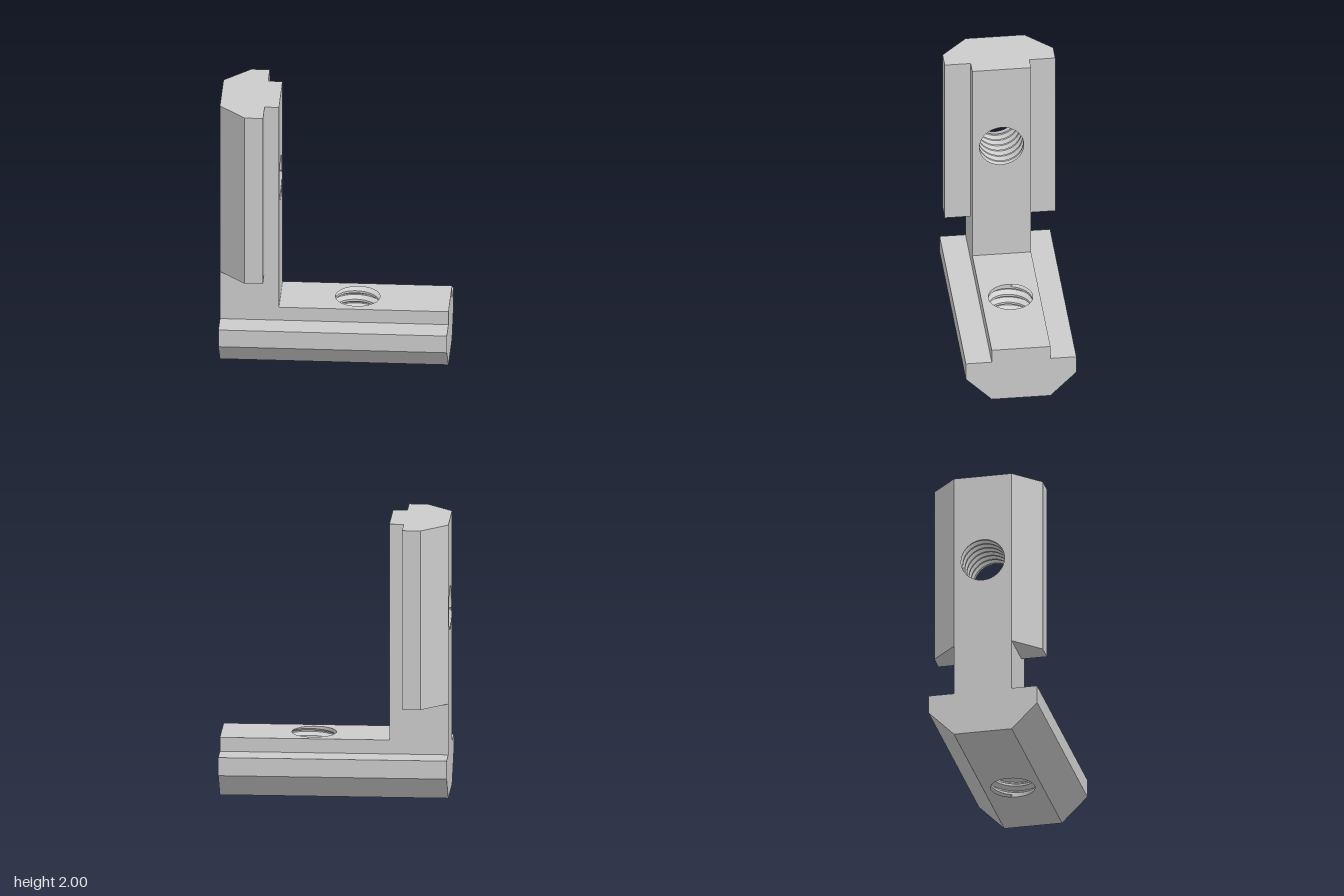
import * as THREE from 'three';
import { mergeGeometries, toCreasedNormals } from 'three/addons/utils/BufferGeometryUtils.js';

const X = 0.813;          // half length of the foot
const T = 0.42;           // thickness of both arms
const W = 0.21;           // half width of the web
const F = 0.395;          // half width over the flanges
const IN = -X + T;        // inner face of the upright
const H = 2;              // height of the upright
const LIP = 0.69;         // lower end of the upright flanges
const HOLE = 0.158, ROOT = 0.193, PITCH = 0.067;
const FOOT_HOLE_X = 0.155, UPRIGHT_HOLE_Y = 1.345;
const SEGMENTS = 48;

const AXES = {
  x: new THREE.Vector3(1, 0, 0), y: new THREE.Vector3(0, 1, 0), z: new THREE.Vector3(0, 0, 1),
  '-x': new THREE.Vector3(-1, 0, 0), '-z': new THREE.Vector3(0, 0, -1),
};

// Lay local x, y along two named axes; local z becomes their cross product
function place(geometry, u, v, origin) {
  const n = new THREE.Vector3().crossVectors(AXES[u], AXES[v]);
  const m = new THREE.Matrix4().makeBasis(AXES[u], AXES[v], n).setPosition(...origin);
  return geometry.applyMatrix4(m);
}

const shapeOf = (pts) => new THREE.Shape(pts.map((p) => new THREE.Vector2(...p)));

// Flat rectangular face with an optional round hole
function panel(u, v, origin, [u0, u1], [v0, v1], hole) {
  const s = shapeOf([[u0, v0], [u1, v0], [u1, v1], [u0, v1]]);
  if (hole) s.holes.push(new THREE.Path().absarc(hole[0], hole[1], HOLE, 0, Math.PI * 2, false));
  return place(new THREE.ShapeGeometry(s, SEGMENTS / 2), u, v, origin);
}

// Keep only triangles that pass the test
function keepTriangles(geometry, test) {
  const p = (geometry.index ? geometry.toNonIndexed() : geometry).attributes.position;
  const out = [];
  for (let i = 0; i < p.count; i += 3) {
    const t = [0, 1, 2].map((k) => new THREE.Vector3().fromBufferAttribute(p, i + k));
    if (test(t)) t.forEach((q) => out.push(q.x, q.y, q.z));
  }
  const g = new THREE.BufferGeometry();
  g.setAttribute('position', new THREE.Float32BufferAttribute(out, 3));
  g.computeVertexNormals();
  return g;
}

// Chamfered flange, open where it joins the web
function flange(length) {
  const out = F - W;
  const s = shapeOf([[0, 0], [0.318, 0], [0.318, out], [0.186, out]]);
  const g = new THREE.ExtrudeGeometry(s, { depth: length, bevelEnabled: false });
  return keepTriangles(g, (t) => !t.every((q) => Math.abs(q.y) < 1e-6));
}

// Helical internal thread, trimmed flush at both ends
function thread(length) {
  const profile = [[0, HOLE], [0.25, HOLE], [0.56, ROOT], [0.69, ROOT]];
  const rows = [];
  for (let k = -1; k <= Math.ceil(length / PITCH) + 1; k++) {
    for (const [offset, r] of profile) rows.push([(k + offset) * PITCH, r]);
  }
  const pos = [], index = [], n = SEGMENTS + 1;
  rows.forEach(([z0, r0], j) => {
    for (let i = 0; i < n; i++) {
      const turn = i / SEGMENTS, a = turn * Math.PI * 2;
      const raw = z0 + turn * PITCH;
      const z = THREE.MathUtils.clamp(raw, 0, length);
      const r = raw === z ? r0 : HOLE;
      pos.push(r * Math.cos(a), r * Math.sin(a), z);
      if (j < rows.length - 1 && i < SEGMENTS) {
        const p = j * n + i;
        index.push(p, p + n, p + 1, p + 1, p + n, p + n + 1);
      }
    }
  });
  const g = new THREE.BufferGeometry();
  g.setAttribute('position', new THREE.Float32BufferAttribute(pos, 3));
  g.setIndex(index);
  const solid = keepTriangles(g, (t) => new THREE.Triangle(...t).getArea() > 1e-8);
  return toCreasedNormals(solid, 0.5);
}

export function createModel() {
  const model = new THREE.Group();
  model.name = 'cornerBracket';
  const material = new THREE.MeshStandardMaterial({ color: 0xcccccc });
  const add = (name, geometry) => {
    const mesh = new THREE.Mesh(geometry, material);
    mesh.name = name;
    model.add(mesh);
  };

  // L-shaped web: exposed part of each side
  const side = (sign) => shapeOf([
    [-X, 0.318], [X, 0.318], [X, T], [IN, T], [IN, H], [-X + 0.318, H], [-X + 0.318, LIP], [-X, LIP],
  ].map(([x, y]) => [sign * x, y]));

  const w = [-W, W];
  add('web', mergeGeometries([
    place(new THREE.ShapeGeometry(side(1)), 'x', 'y', [0, 0, W]),
    place(new THREE.ShapeGeometry(side(-1)), '-x', 'y', [0, 0, -W]),
    panel('x', 'z', [0, 0, 0], [-X, X], w, [FOOT_HOLE_X, 0]),       // underside
    panel('z', 'x', [0, T, 0], w, [IN, X], [0, FOOT_HOLE_X]),       // foot top
    panel('z', 'y', [-X, 0, 0], w, [0, H], [0, UPRIGHT_HOLE_Y]),    // outer face
    panel('y', 'z', [IN, 0, 0], [T, H], w, [UPRIGHT_HOLE_Y, 0]),    // inner face
    panel('y', 'z', [X, 0, 0], [0, T], w),                          // foot end
    panel('z', 'x', [0, H, 0], w, [-X, IN]),                        // upright end
  ]));

  // Flanges on both sides of each arm
  add('footFlangeFront', place(flange(2 * X), 'y', 'z', [-X, 0, W]));
  add('footFlangeBack', place(flange(2 * X), 'y', '-z', [X, 0, -W]));
  add('uprightFlangeFront', place(flange(H - LIP), 'x', 'z', [-X, H, W]));
  add('uprightFlangeBack', place(flange(H - LIP), 'x', '-z', [-X, LIP, -W]));

  // Threaded screw holes
  add('footThread', place(thread(T), 'z', 'x', [FOOT_HOLE_X, 0, 0]));
  add('uprightThread', place(thread(T), 'y', 'z', [-X, UPRIGHT_HOLE_Y, 0]));
  return model;
}
